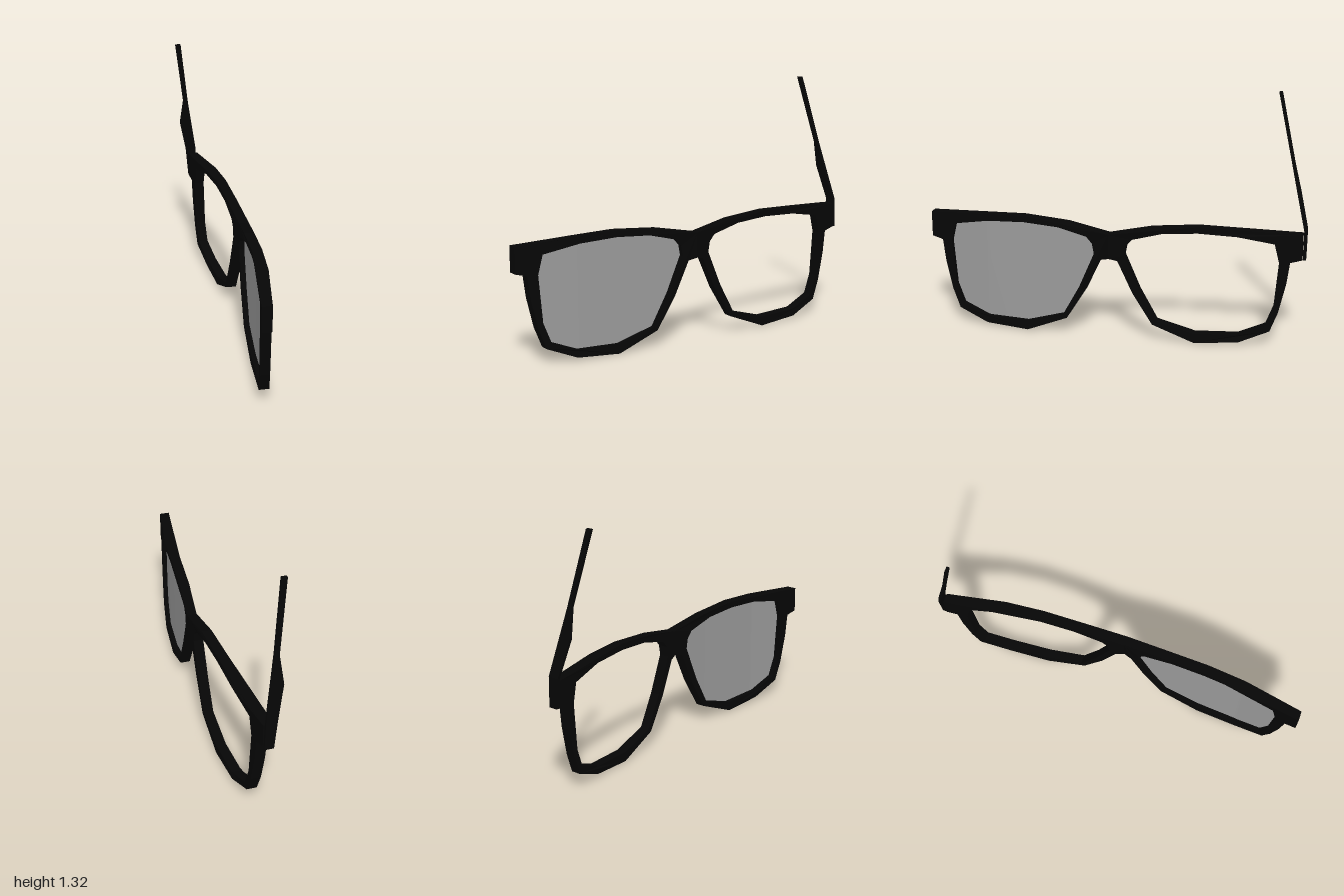
import * as THREE from 'three';

const black = new THREE.MeshStandardMaterial({ color: 0x060606, flatShading: true });
const tint = new THREE.MeshStandardMaterial({ color: 0x9b9b9b, side: THREE.DoubleSide });
const CENTRE = 0.01; // the bridge sits slightly off centre, making room for the arm
const DEPTH = 0.052;

// piecewise linear interpolation through [position, value] pairs
function lerpAt(points, t) {
  for (let i = 1; i < points.length; i++) {
    const [a, va] = points[i - 1], [b, vb] = points[i];
    if (t <= b) return va + (vb - va) * (t - a) / (b - a);
  }
  return points[points.length - 1][1];
}

// wrap of the frame: front surface depth against distance from the bridge
const WRAP = [[0, 0.12], [0.05, 0.107], [0.35, 0.095], [0.65, 0.075], [0.99, 0.018]];
const wrap = (d) => lerpAt(WRAP, Math.abs(d));

const toVectors = (points) => points.map(([x, y]) => new THREE.Vector2(x, y));
const mirror = (points) => points.map(([x, y]) => [-x, y]).reverse();

// half outline, counter-clockwise from the underside of the bridge round to its top
const OUTLINE = [
  [0, 0.447], [0.045, 0.435], [0.125, 0.26], [0.23, 0.09], [0.45, 0],
  [0.68, 0.015], [0.84, 0.08], [0.88, 0.185], [0.915, 0.34], [0.93, 0.46],
  [0.99, 0.475], [0.99, 0.61], [0.67, 0.632], [0.46, 0.64], [0.22, 0.622], [0, 0.58],
];
// lens opening as an upper and a lower chain
const UPPER = [
  [0.08, 0.465], [0.09, 0.52], [0.12, 0.555], [0.275, 0.595],
  [0.46, 0.607], [0.66, 0.597], [0.85, 0.56], [0.875, 0.46],
];
const LOWER = [
  [0.08, 0.465], [0.16, 0.275], [0.25, 0.11], [0.45, 0.05],
  [0.675, 0.055], [0.815, 0.11], [0.855, 0.215], [0.875, 0.46],
];
const OPENING = [...UPPER, ...LOWER.slice(1, -1).reverse()];

// one rim with half of the bridge, extruded towards +x and bent to the wrap
function makeRim(outline, opening) {
  const shape = new THREE.Shape(toVectors(outline));
  shape.holes.push(new THREE.Path(toVectors(opening)));
  const geo = new THREE.ExtrudeGeometry(shape, { depth: DEPTH, bevelEnabled: false });
  geo.translate(0, 0, -DEPTH).rotateY(Math.PI / 2);
  const p = geo.attributes.position;
  for (let i = 0; i < p.count; i++) {
    p.setX(i, p.getX(i) + wrap(p.getZ(i)));
    p.setZ(i, p.getZ(i) + CENTRE);
  }
  geo.computeVertexNormals();
  return new THREE.Mesh(geo, black);
}

// curved sheet made of vertical strips between the two chains of the opening
function makeLens() {
  const stations = [...new Set([...UPPER, ...LOWER].map(([d]) => d))].sort((a, b) => a - b);
  const positions = [], index = [];
  stations.forEach((d, i) => {
    const x = wrap(d) - DEPTH / 2;
    positions.push(x, lerpAt(UPPER, d), d + CENTRE, x, lerpAt(LOWER, d), d + CENTRE);
    if (i) {
      const a = 2 * (i - 1);
      index.push(a, a + 1, a + 2, a + 1, a + 3, a + 2);
    }
  });
  const geo = new THREE.BufferGeometry();
  geo.setAttribute('position', new THREE.Float32BufferAttribute(positions, 3));
  geo.setIndex(index);
  geo.computeVertexNormals();
  return new THREE.Mesh(geo, tint);
}

// thin arm rising from the hinge and leaning inward; rows are [y, x min, x max, z]
const ARM = [
  [0.475, -0.032, 0.015, -0.991], [0.63, -0.045, 0.012, -0.992], [0.815, -0.085, -0.02, -0.948],
  [0.96, -0.07, -0.045, -0.914], [1.32, -0.124, -0.095, -0.83],
];

function makeArm() {
  const rows = ARM.length - 1;
  const geo = new THREE.BoxGeometry(1, 1, 0.016, 1, rows, 1);
  const p = geo.attributes.position;
  for (let i = 0; i < p.count; i++) {
    const [y, x0, x1, z] = ARM[Math.round((p.getY(i) + 0.5) * rows)];
    p.setXYZ(i, p.getX(i) < 0 ? x0 : x1, y, p.getZ(i) + z);
  }
  geo.computeVertexNormals();
  return new THREE.Mesh(geo, black);
}

export function createModel() {
  const group = new THREE.Group();
  group.name = 'brokenGlasses';
  const parts = {
    rightRim: makeRim(OUTLINE, OPENING),
    leftRim: makeRim(mirror(OUTLINE), mirror(OPENING)),
    lens: makeLens(),
    arm: makeArm(),
  };
  for (const [name, mesh] of Object.entries(parts)) {
    mesh.name = name;
    group.add(mesh);
  }
  return group;
}
